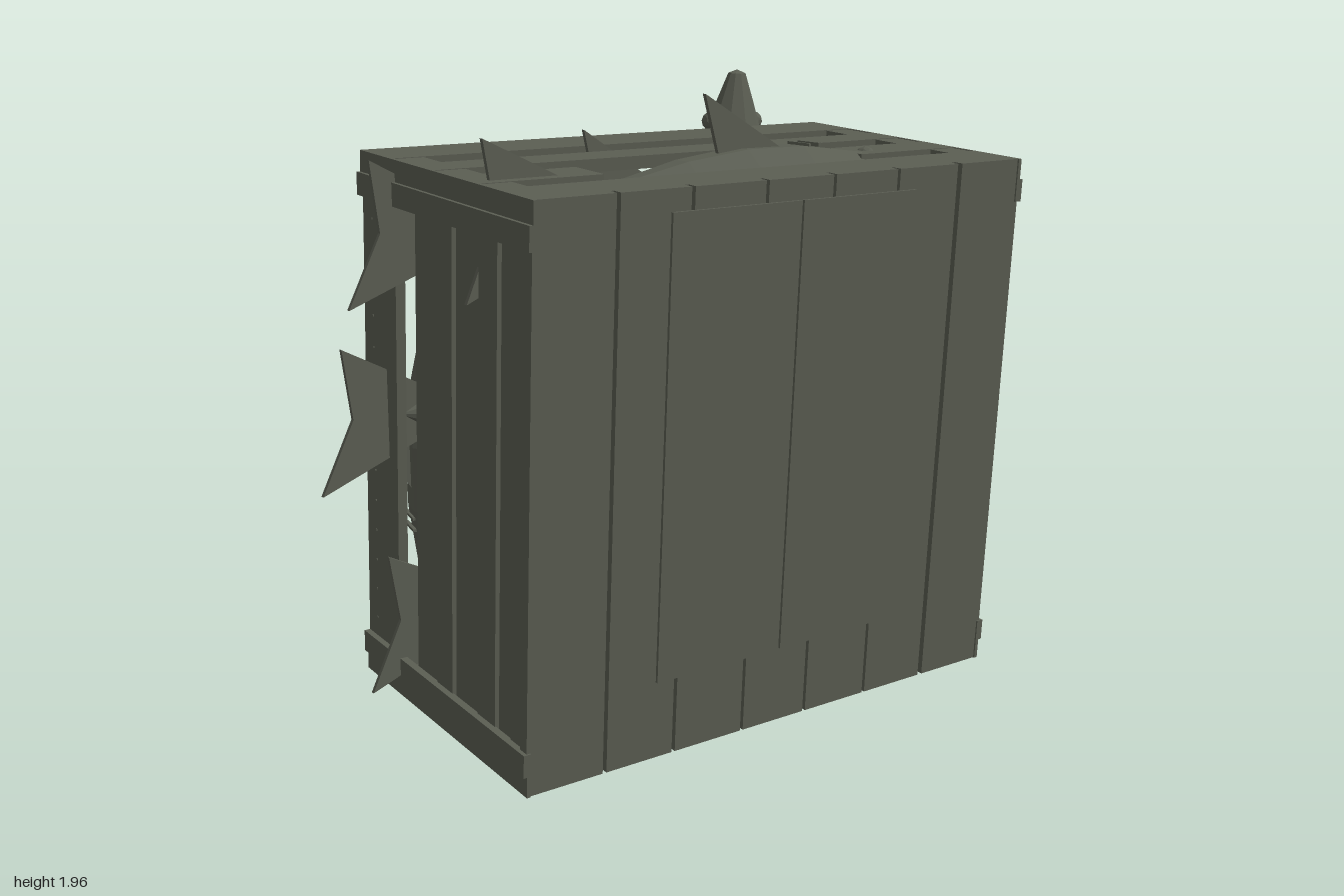
import * as THREE from 'three';

const olive = new THREE.MeshStandardMaterial({ color: 0x5a5d52, flatShading: true });
olive.name = 'oliveGrey';

function add(parent, name, geometry, x = 0, y = 0, z = 0) {
  const m = new THREE.Mesh(geometry, olive);
  m.name = name;
  m.position.set(x, y, z);
  parent.add(m);
  return m;
}

// Box given by its minimum and maximum on each axis
function slab(parent, name, [x0, x1], [y0, y1], [z0, z1]) {
  return add(parent, name, new THREE.BoxGeometry(x1 - x0, y1 - y0, z1 - z0),
    (x0 + x1) / 2, (y0 + y1) / 2, (z0 + z1) / 2);
}

// Thin flat fin in the xy plane
function finGeometry(points) {
  const shape = new THREE.Shape(points.map(([x, y]) => new THREE.Vector2(x, y)));
  return new THREE.ExtrudeGeometry(shape, { depth: 0.014, bevelEnabled: false }).translate(0, 0, -0.007);
}

// Fish with its nose at the origin, pointing along +y, dorsal fin towards -z
const profile = [[0.002, -1.4], [0.035, -1.33], [0.075, -1.15], [0.125, -0.92], [0.15, -0.7],
  [0.148, -0.48], [0.115, -0.24], [0.065, -0.1], [0.032, -0.012], [0.001, 0]];
const bodyGeo = new THREE.LatheGeometry(profile.map(([r, y]) => new THREE.Vector2(r, y)), 10);
bodyGeo.scale(1, 1, 0.85);
const dorsalGeo = finGeometry([[0.08, -0.46], [0.06, -0.95], [0.27, -0.78]]).rotateY(Math.PI / 2);
const tailGeo = finGeometry([[0.03, -1.2], [-0.03, -1.2], [-0.22, -1.6], [0, -1.56], [0.23, -1.66]]);
const pectoralGeo = finGeometry([[0.11, -0.5], [0.1, -0.78], [0.31, -0.84]]);
const eyeGeo = new THREE.IcosahedronGeometry(0.035, 1);
const gillGeo = new THREE.BoxGeometry(0.012, 0.009, 0.1);

function fish(parent, name, nose, tail, dorsal, scale = 1) {
  const g = new THREE.Group();
  g.name = name;
  add(g, 'body', bodyGeo);
  add(g, 'dorsalFin', dorsalGeo);
  add(g, 'tailFin', tailGeo);
  for (const s of [-1, 1]) {
    add(g, 'pectoralFin', pectoralGeo).rotation.y = s > 0 ? 0 : Math.PI;
    add(g, 'eye', eyeGeo, s * 0.085, -0.18, -0.01);
    for (const y of [-0.41, -0.45]) add(g, 'gill', gillGeo, s * 0.14, y, -0.02);
  }
  const n = new THREE.Vector3(...nose);
  const Y = n.clone().sub(new THREE.Vector3(...tail)).normalize();
  const X = new THREE.Vector3().crossVectors(Y, new THREE.Vector3(...dorsal).negate()).normalize();
  const Z = new THREE.Vector3().crossVectors(X, Y);
  g.quaternion.setFromRotationMatrix(new THREE.Matrix4().makeBasis(X, Y, Z));
  g.position.copy(n);
  g.scale.setScalar(scale);
  parent.add(g);
}

function crate() {
  const c = new THREE.Group();
  c.name = 'crate';
  const W = 0.895, H = 0.85, D = 0.5, T = 0.04;

  // Front planks
  const edges = [[-0.895, -0.635], [-0.622, -0.388], [-0.376, -0.128], [-0.117, 0.122],
    [0.133, 0.373], [0.384, 0.622], [0.64, 0.895]];
  for (const e of edges) slab(c, 'frontPlank', e, [-H, H], [D - T, D - 0.005]);
  // Rails behind the front planks
  for (const s of [-1, 1]) {
    const y = [s * 0.77 - 0.06, s * 0.77 + 0.06];
    slab(c, 'frontRail', [-0.78, 0.78], y, [D - T - 0.035, D - T]);
  }
  // Two thin sheets on the front
  for (const x of [[-0.455, 0.001], [0.008, 0.45]])
    slab(c, 'frontSheet', x, [-0.605, 0.785], [D - 0.005, D + 0.004]);

  // Top and bottom slats; the third top slat is broken in the middle
  const slats = [[-0.5, -0.3], [-0.18, -0.05], [0.06, 0.21], [0.3, D - T]];
  slats.forEach((z, i) => {
    slab(c, 'bottomSlat', [-W, W], [-H, -H + T], z);
    if (i !== 2) slab(c, 'topSlat', [-W, W], [H - T, H], z);
    else for (const x of [[-W, -0.485], [0.485, W]]) slab(c, 'brokenSlat', x, [H - T, H], z);
  });
  slab(c, 'floor', [-W + T, W - T], [-H + T, -H + T + 0.02], [-D + 0.02, D - T]);

  // Side walls: alternating planks, an open gap, a back plank, trims and battens
  const planks = [[0.395, 0.46, 0], [0.305, 0.395, 0.014], [0.205, 0.305, 0], [0.053, 0.205, 0.014],
    [-0.04, 0.053, 0], [-0.19, -0.04, 0.014], [-0.5, -0.29, 0]];
  for (const s of [-1, 1]) {
    const span = (a, b) => (s > 0 ? [a, b] : [-b, -a]);
    for (const [z0, z1, inset] of planks)
      slab(c, 'sidePlank', span(W - T, W - 0.008 - inset), [-H + T, H - T], [z0, z1]);
    for (const v of [-1, 1]) {
      const range = (a, b) => (v > 0 ? [a, b] : [-b, -a]);
      slab(c, 'outerTrim', span(W - 0.012, W), range(0.785, H), [-D, D]);
      slab(c, 'innerTrim', span(W - 0.012, W + 0.012), range(0.715, 0.785), [-D, D]);
      slab(c, 'sideBatten', span(0.785, W - 0.012), range(H - T - 0.06, H - 0.002), [-D + 0.01, D - T]);
    }
    slab(c, 'backPost', span(W - T - 0.03, W - T), [-H + T, H - T], [-D + 0.03, -D + 0.09]);
    // Nail heads on the back plank
    for (let i = 0; i < 14; i++)
      slab(c, 'nail', span(W - 0.008, W - 0.005), [-0.653 + i * 0.1, -0.647 + i * 0.1], [-0.443, -0.437]);
  }
  c.position.set(0.087, 0.915, 0.16);
  c.rotation.x = 0.048;
  return c;
}

export function createModel() {
  const model = new THREE.Group();
  model.name = 'crateOfFish';
  model.add(crate());

  // Fish lying across the crate: nose, tail, scale
  const back = [0, 0, -1];
  const lying = [
    [[0.65, 1.49, -0.08], [-0.95, 1.57, -0.08], 0.97],
    [[0.95, 1.25, -0.13], [-0.62, 1.06, -0.16], 0.95],
    [[0.64, 0.92, -0.22], [-0.97, 0.99, -0.19], 1],
    [[0.87, 0.6, -0.1], [-0.68, 0.38, -0.16], 0.95],
    [[0.7, 0.3, -0.1], [-0.89, 0.34, -0.13], 0.97],
    [[0.78, 1.42, 0.22], [-0.7, 1.42, 0.22], 0.92],
    [[0.78, 0.4, 0.22], [-0.7, 0.42, 0.25], 0.92],
    // This one breaks through the top
    [[0.83, 1.65, 0.35], [-0.79, 1.65, 0.37], 1],
  ];
  for (const [nose, tail, s] of lying) fish(model, 'lyingFish', nose, tail, back, s);

  // Two fish hanging at the open back, one nose up and one nose down
  fish(model, 'noseUpFish', [0.68, 1.98, -0.36], [0.64, 0.36, -0.46], [0.1, 0, -1], 1);
  fish(model, 'noseDownFish', [-0.45, 0.1, -0.44], [-0.47, 1.7, -0.4], [0.2, 0, -1], 1);
  return model;
}
